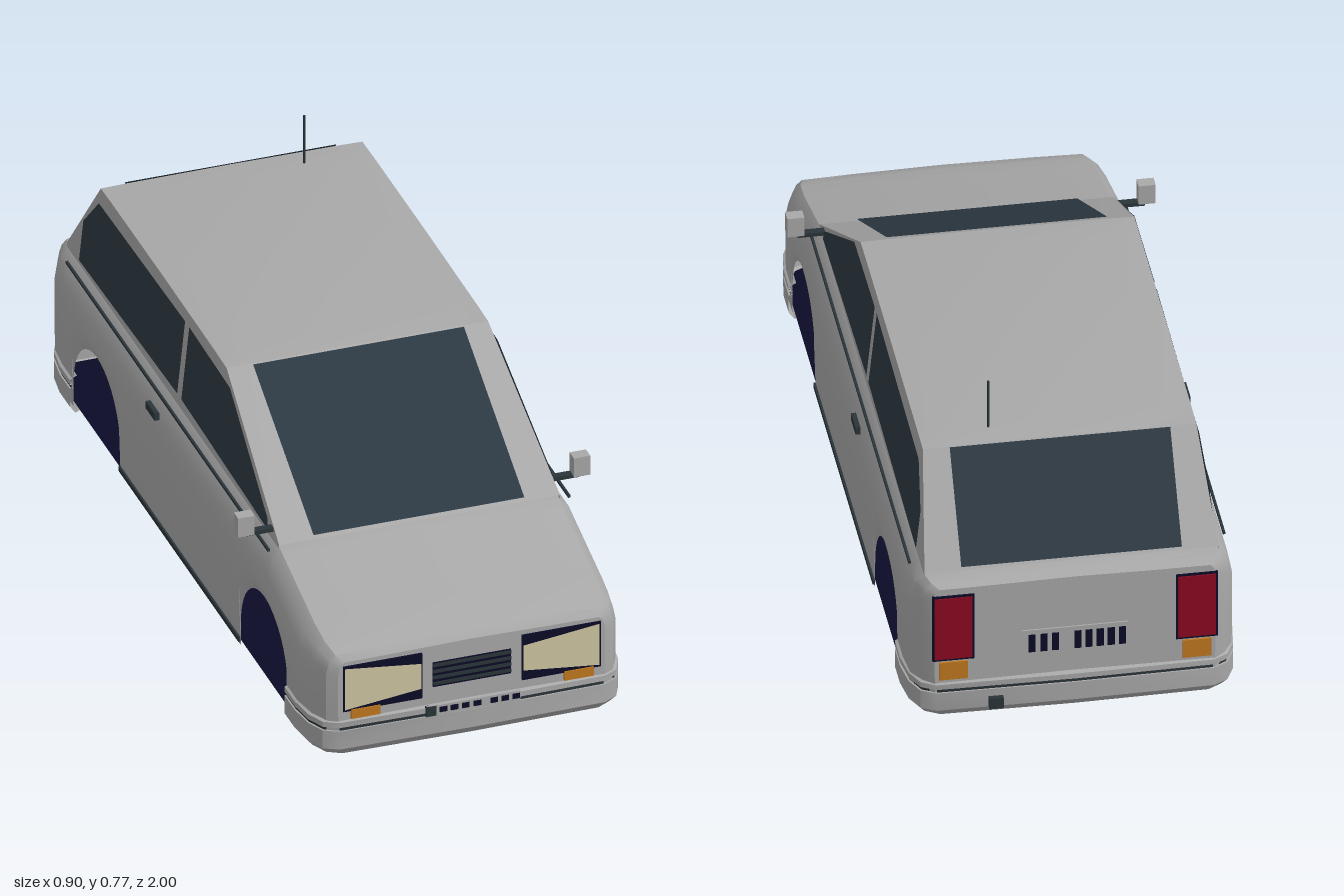
import * as THREE from 'three';
import { toCreasedNormals } from 'three/addons/utils/BufferGeometryUtils.js';

const paint = (name, color, side = THREE.FrontSide) => {
  const m = new THREE.MeshStandardMaterial({ color, side });
  m.name = name;
  return m;
};

export function createModel() {
  const car = new THREE.Group();
  car.name = 'car';
  const silver = paint('silver', 0xa8a8a8, THREE.DoubleSide);
  const glass = paint('glass', 0x2d3942, THREE.DoubleSide);
  const trim = paint('darkTrim', 0x2a3438, THREE.DoubleSide);
  const navy = paint('navyBlack', 0x0a0a26, THREE.DoubleSide);
  const cream = paint('lampCream', 0xcfc5a0, THREE.DoubleSide);
  const orange = paint('indicatorOrange', 0xc07820);
  const red = paint('tailRed', 0x8a0a20);

  const add = (name, geo, mat) => {
    const mesh = new THREE.Mesh(geo, mat);
    mesh.name = name;
    car.add(mesh);
    return mesh;
  };
  const box = (name, mat, w, h, d, x, y, z) =>
    add(name, new THREE.BoxGeometry(w, h, d), mat).position.set(x, y, z);

  // Skin over rows of points, with optional flat end caps
  const loft = (rows, caps, crease = 0.5) => {
    const n = rows[0].length, last = (rows.length - 1) * n, idx = [];
    for (let j = 0; j < rows.length - 1; j++)
      for (let i = 0; i < n - 1; i++) {
        const a = j * n + i, d = a + n;
        idx.push(a, d, a + 1, a + 1, d, d + 1);
      }
    if (caps)
      for (let i = 1; i < n - 1; i++) {
        idx.push(0, i, i + 1);
        idx.push(last, last + i + 1, last + i);
      }
    const g = new THREE.BufferGeometry();
    g.setAttribute('position', new THREE.Float32BufferAttribute(rows.flat(2), 3));
    g.setIndex(idx);
    return toCreasedNormals(g, crease);
  };
  // Half section from bottom (+x) to the centre line, mirrored to -x
  const section = (half, z) => [
    ...half.map(([x, y]) => [x, y, z]),
    ...half.slice(0, -1).reverse().map(([x, y]) => [-x, y, z]),
  ];
  // Flat outline carried onto a surface
  const panel = (name, mat, pts, place) => {
    const g = new THREE.ShapeGeometry(new THREE.Shape(pts.map(p => new THREE.Vector2(...p))));
    const p = g.attributes.position;
    for (let i = 0; i < p.count; i++) p.setXYZ(i, ...place(p.getX(i), p.getY(i)));
    g.computeVertexNormals();
    add(name, g, mat);
  };

  // Body: z, top height, half width, shoulder size
  const shape = [
    [0.98, 0.262, 0.342, 0.35], [0.965, 0.28, 0.368, 0.55], [0.92, 0.298, 0.39, 0.8],
    [0.85, 0.317, 0.402, 1], [0.605, 0.386, 0.402, 1], [-0.85, 0.386, 0.402, 1],
    [-0.92, 0.386, 0.395, 0.8], [-0.96, 0.382, 0.372, 0.5], [-0.98, 0.37, 0.345, 0.3],
  ];
  const at = z => {
    let i = 0;
    while (i < shape.length - 2 && z < shape[i + 1][0]) i++;
    const a = shape[i], b = shape[i + 1], t = (z - a[0]) / (b[0] - a[0]);
    return a.map((v, k) => v + (b[k] - v) * t);
  };
  const stations = shape.map(s => [s[0], 0.02]).filter(s => Math.abs(s[0]) !== 0.605);
  for (const c of [0.605, -0.605]) {
    stations.push([c + 0.1705, 0.02], [c - 0.1705, 0.02]);
    for (let i = 0; i <= 20; i++) {
      const a = (i / 20) * Math.PI;
      stations.push([c + 0.17 * Math.cos(a), 0.08 + 0.17 * Math.sin(a)]);
    }
  }
  stations.sort((a, b) => b[0] - a[0]);
  add('body', loft(stations.map(([z, bottom]) => {
    const [, T, W, k] = at(z);
    return section([
      [W - 0.004, bottom], [W, (bottom + T - 0.11 * k) / 2], [W, T - 0.11 * k],
      [W - 0.008 * k, T - 0.07 * k], [W - 0.02 * k, T - 0.036 * k],
      [W - 0.045 * k, T - 0.012 * k], [W * 0.6, T - 0.003], [0, T],
    ], z);
  }), true), silver);

  // Cabin: z, roof edge height, crown height, edge half width
  const cabin = [
    [0.605, 0.385, 0.385, 0.36], [0.155, 0.628, 0.631, 0.335], [0.08, 0.63, 0.639, 0.335],
    [-0.3, 0.632, 0.644, 0.335], [-0.68, 0.63, 0.639, 0.335], [-0.755, 0.628, 0.631, 0.335],
    [-0.93, 0.385, 0.385, 0.36],
  ];
  add('cabin', loft(cabin.map(([z, e, c, w]) =>
    section([[0.36, 0.375], [w, e], [0.27, e + (c - e) * 0.5], [0, c]], z)), false, 0.35), silver);

  // Glass
  const slope = (z0, z1, off) => (x, y) =>
    [x, y + 0.004, z0 + (z1 - z0) * (y - 0.385) / 0.243 + off];
  const pane = [[-0.27, 0.39], [0.27, 0.39], [0.27, 0.626], [-0.27, 0.626]];
  panel('windscreen', glass, pane, slope(0.605, 0.155, 0.004));
  panel('rearWindow', glass, pane, slope(-0.93, -0.755, -0.004));
  const frontPane = [[0.53, 0.392], [0.525, 0.418], [0.2, 0.6], [-0.095, 0.606], [-0.095, 0.408]];
  const backPane = [[-0.125, 0.408], [-0.125, 0.606], [-0.745, 0.594], [-0.83, 0.5], [-0.83, 0.392]];
  for (const s of [1, -1]) {
    const onSide = (z, y) => [s * (0.365 - (y - 0.385) * 0.103), y, z];
    panel('frontSideWindow', glass, frontPane, onSide);
    panel('backSideWindow', glass, backPane, onSide);
    box('beltLine', trim, 0.006, 0.007, 1.46, s * 0.385, 0.374, -0.13);
    box('doorHandle', trim, 0.012, 0.02, 0.065, s * 0.404, 0.334, -0.187);
    box('sillStrip', trim, 0.006, 0.013, 0.868, s * 0.401, 0.036, 0);
    box('mirrorArm', trim, 0.09, 0.01, 0.02, s * 0.38, 0.402, 0.547);
    box('mirror', silver, 0.042, 0.053, 0.032, s * 0.43, 0.43, 0.55);

    // Lamps
    box('headlampFrame', navy, 0.202, 0.125, 0.006, s * 0.229, 0.185, 0.982);
    panel('headlamp', cream,
      [[0.131, 0.15], [0.326, 0.128], [0.326, 0.243], [0.131, 0.22]], (x, y) => [s * x, y, 0.9865]);
    box('frontIndicator', orange, 0.075, 0.025, 0.008, s * 0.273, 0.114, 0.984);
    box('tailLampFrame', navy, 0.102, 0.187, 0.006, s * 0.298, 0.255, -0.98);
    box('tailLamp', red, 0.092, 0.175, 0.008, s * 0.298, 0.255, -0.982);
    box('rearIndicator', orange, 0.07, 0.05, 0.008, s * 0.298, 0.132, -0.981);
  }

  // Floor and bumpers share one rounded plan
  const corner = [[0.407, 0.776], [0.407, 0.85], [0.397, 0.92], [0.376, 0.965], [0.34, 0.985], [0, 0.99]];
  const plan = [...corner, ...corner.slice(0, -1).reverse().map(([x, z]) => [-x, z])];
  const ring = [...plan, ...plan.map(([x, z]) => [-x, -z])];
  panel('floor', navy, ring.map(([x, z]) => [x * 0.97, z * 0.97]), (x, z) => [x, 0.03, z]);
  const band = (name, mat, profile, s) => add(name, loft(plan.map(([x, z]) =>
    profile.map(([inset, y]) => [x * (1 - inset / 0.4), y, s * (z > 0.8 ? z - inset : z)]))), mat);
  for (const s of [1, -1]) {
    const end = s > 0 ? 'front' : 'rear';
    band(end + 'BumperLower', silver, [[0.04, 0.012], [0.014, 0], [0, 0.02], [0, 0.07], [0.01, 0.07]], s);
    band(end + 'BumperStripe', trim, [[0.004, 0.068], [0.004, 0.082]], s);
    band(end + 'BumperUpper', silver, [[0.01, 0.08], [0, 0.08], [0, 0.094], [0.018, 0.104]], s);
  }

  // Grille
  box('grille', navy, 0.2, 0.067, 0.006, 0, 0.181, 0.981);
  for (let i = 0; i < 4; i++) box('grilleSlat', trim, 0.2, 0.009, 0.006, 0, 0.157 + i * 0.017, 0.983);

  // Plain marker plates with dark blocks
  box('frontPlate', silver, 0.24, 0.027, 0.008, 0, 0.087, 0.99);
  box('frontPlateEnd', trim, 0.026, 0.027, 0.009, -0.108, 0.087, 0.991);
  for (const x of [-0.077, -0.049, -0.02, 0.01, 0.053, 0.081, 0.109])
    box('frontPlateBlock', navy, 0.019, 0.014, 0.004, x, 0.088, 0.994);
  box('rearPlate', silver, 0.26, 0.075, 0.006, 0, 0.19, -0.981);
  for (const x of [-0.115, -0.088, -0.061, -0.034, -0.007, 0.048, 0.077, 0.106])
    box('rearPlateBlock', navy, 0.017, 0.05, 0.004, x, 0.19, -0.9835);

  // Tail pipe and aerial
  box('tailPipe', trim, 0.035, 0.03, 0.04, 0.195, 0.035, -0.98);
  const aerial = add('aerial', new THREE.CylinderGeometry(0.003, 0.003, 0.14, 8), trim);
  aerial.position.set(0.165, 0.698, -0.695);
  return car;
}
